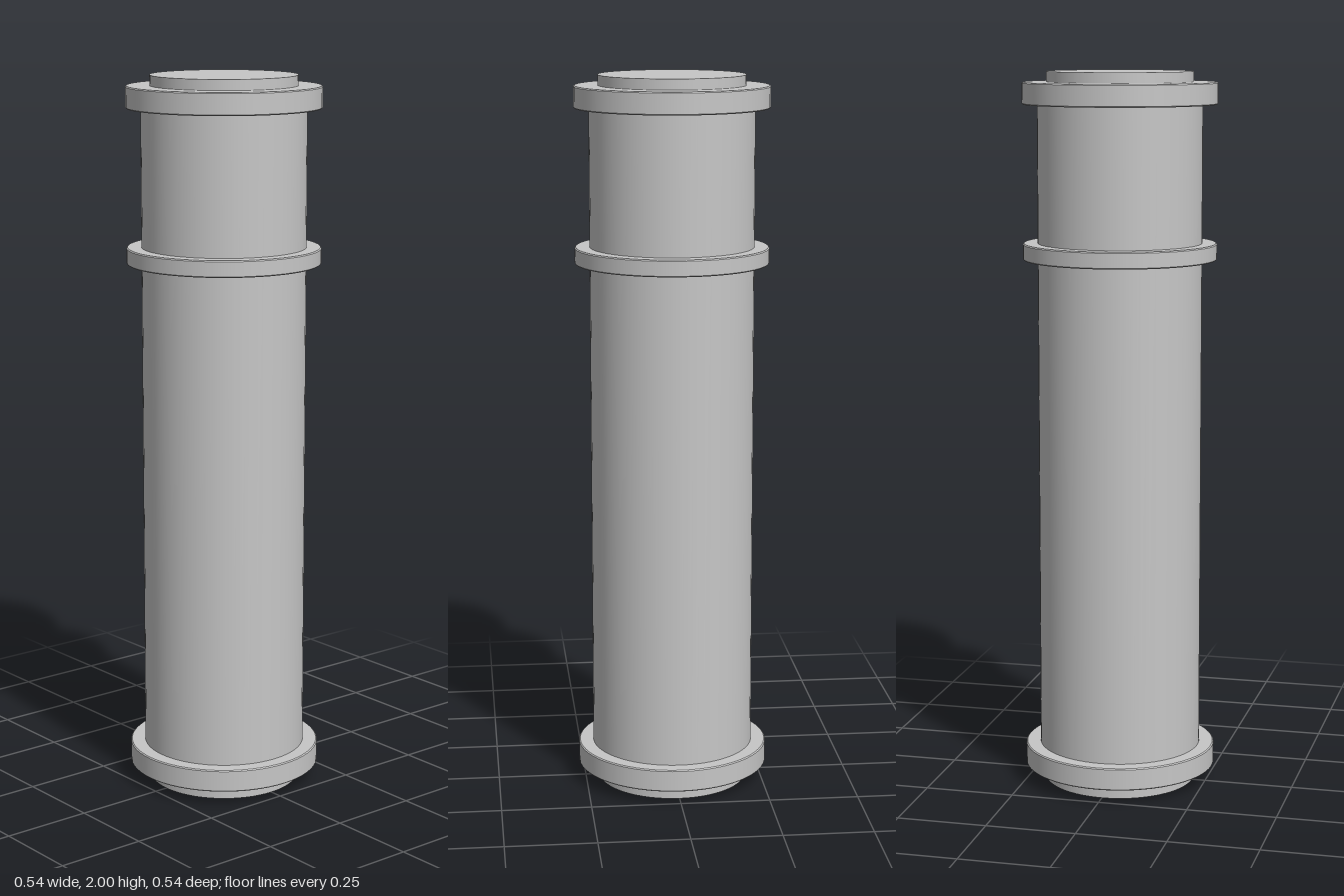
import * as THREE from 'three';

export function createModel() {
  const group = new THREE.Group();
  const gray = new THREE.MeshStandardMaterial({ color: 0xc6c6c6 });
  gray.name = 'light gray';

  // Upright solid disc or tube section from y0 to y1, with an optional small edge bevel
  function section(name, radius, y0, y1, bevel = 0) {
    const h = y1 - y0;
    const part = new THREE.Group();
    part.name = name;
    const add = (r0, r1, a, b, open) => {
      const geo = new THREE.CylinderGeometry(r1, r0, b - a, 64, 1, open);
      const mesh = new THREE.Mesh(geo, gray);
      mesh.name = name;
      mesh.position.y = (a + b) / 2;
      part.add(mesh);
    };
    if (bevel > 0) {
      const points = [
        [0, 0], [radius - bevel, 0], [radius - bevel, 0], [radius, bevel], [radius, bevel],
        [radius, h - bevel], [radius, h - bevel], [radius - bevel, h], [radius - bevel, h], [0, h],
      ].map(([x, y]) => new THREE.Vector2(x, y0 + y));
      const mesh = new THREE.Mesh(new THREE.LatheGeometry(points, 64), gray);
      mesh.name = name;
      part.add(mesh);
    } else {
      add(radius, radius, y0, y1, false);
    }
    group.add(part);
  }

  // Foot, main barrel and end cap
  section('foot', 0.212, 0, 0.06);
  section('barrel', 0.227, 0.06, 1.94);
  section('endCap', 0.202, 1.94, 2);

  // Protruding collars
  section('bottomCollar', 0.268, 0.042, 0.105, 0.003);
  section('middleCollar', 0.268, 1.486, 1.532, 0.003);
  section('topCollar', 0.268, 1.91, 1.971, 0.003);

  return group;
}
